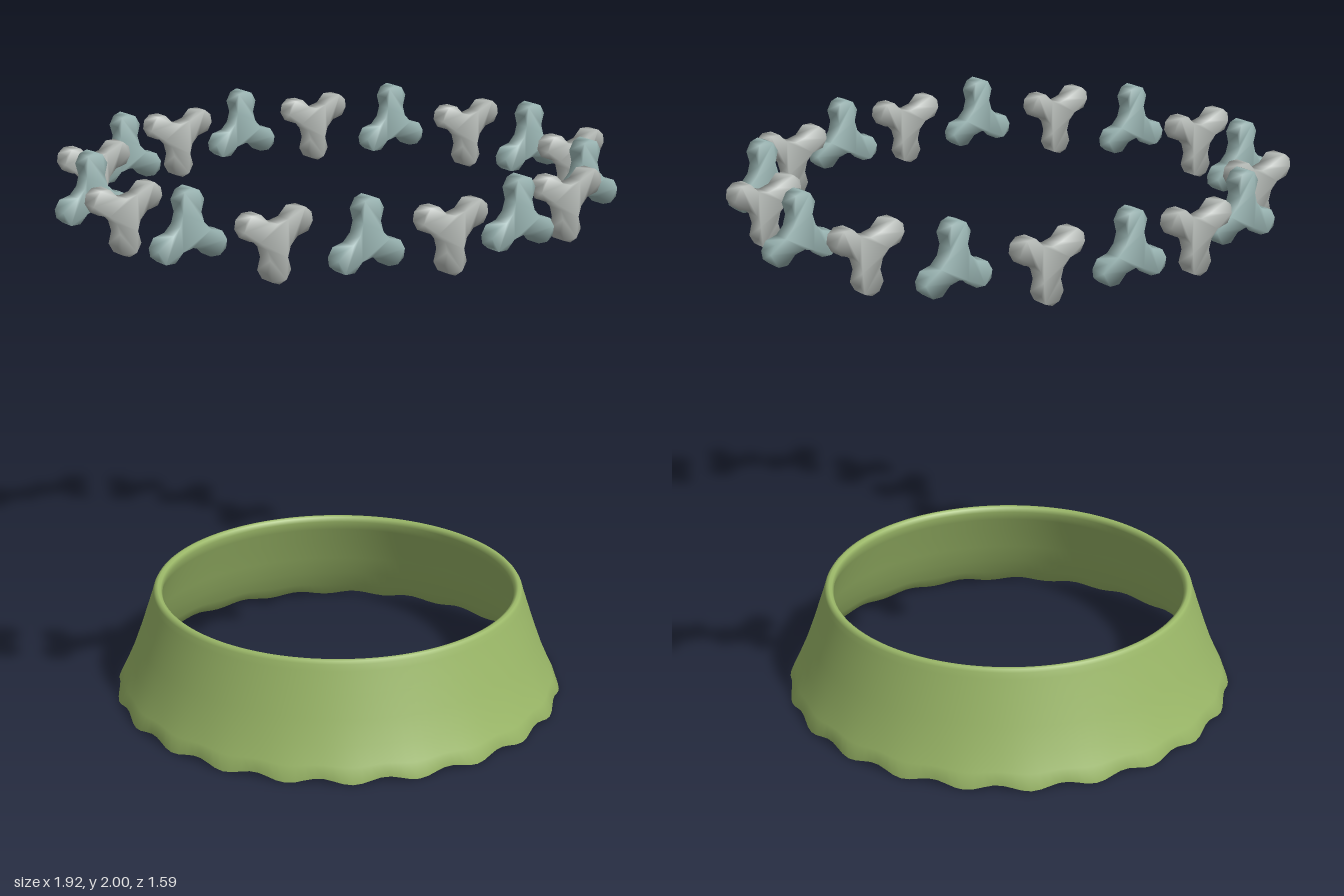
import * as THREE from 'three';
import { mergeVertices } from 'three/addons/utils/BufferGeometryUtils.js';

// Weld a geometry and give it smooth normals throughout
function weld(geometry) {
  geometry.deleteAttribute('uv');
  geometry.deleteAttribute('normal');
  const g = mergeVertices(geometry, 1e-4);
  g.computeVertexNormals();
  return g;
}

// Flared collar: closed shell profile with a rounded top rim and a rippled hem
function collarGeometry() {
  const height = 0.385, waves = 22;
  const profile = [
    [0.783, 0], [0.762, 0.05], [0.733, 0.12], [0.705, 0.2], [0.679, 0.28], [0.657, 0.35],
    [0.651, 0.372], [0.645, 0.382], [0.635, 0.385], [0.625, 0.38], [0.619, 0.365],
    [0.63, 0.33], [0.656, 0.27], [0.684, 0.19], [0.713, 0.115], [0.744, 0.05], [0.768, 0.004], [0.783, 0],
  ].map(([r, y]) => new THREE.Vector2(r, y));
  const geo = new THREE.LatheGeometry(profile, waves * 7);
  const p = geo.attributes.position;
  for (let i = 0; i < p.count; i++) {
    const x = p.getX(i), y = p.getY(i), z = p.getZ(i);
    const fade = Math.pow(1 - y / height, 6);
    const wave = Math.cos(waves * Math.atan2(x, z));
    const s = 1 + 0.007 * wave * fade;
    p.setXYZ(i, x * s, y + 0.009 * (1 - wave) * fade, z * s);
  }
  return weld(geo);
}

// Flat three-lobed plate, one lobe pointing up
function trefoilGeometry() {
  const depth = 0.055;
  const lobe = [[0.043, 0.025], [0.033, 0.06], [0.044, 0.1], [0.027, 0.13],
    [0, 0.14], [-0.027, 0.13], [-0.044, 0.1], [-0.033, 0.06]];
  const outline = [];
  for (let k = 0; k < 3; k++) {
    for (const [x, y] of lobe) {
      outline.push(new THREE.Vector2(x, y).rotateAround(new THREE.Vector2(), k * Math.PI * 2 / 3));
    }
  }
  const geo = new THREE.ExtrudeGeometry(new THREE.Shape(outline), { depth, bevelEnabled: false });
  geo.translate(0, 0, -depth / 2);
  return weld(geo);
}

export function createModel() {
  const model = new THREE.Group();

  const collar = new THREE.Mesh(collarGeometry(),
    new THREE.MeshStandardMaterial({ color: 0x9bb868, side: THREE.DoubleSide }));
  collar.name = 'collar';
  collar.position.x = -0.004;
  model.add(collar);

  // Floating ring of 18 plates, all facing front, alternately upright and inverted
  const ring = new THREE.Group();
  ring.name = 'trefoilRing';
  const geo = trefoilGeometry();
  const teal = new THREE.MeshStandardMaterial({ color: 0x9ab5b3 });
  const grey = new THREE.MeshStandardMaterial({ color: 0xb4b9b5 });
  const count = 18;
  for (let i = 0; i < count; i++) {
    const a = i * Math.PI * 2 / count;
    const radius = 0.774 + 0.06 * Math.pow(Math.abs(Math.cos(a)), 1.2);
    const upright = i % 2 === 0;
    const plate = new THREE.Mesh(geo, upright ? teal : grey);
    plate.name = upright ? 'uprightTrefoil' : 'invertedTrefoil';
    plate.position.set(radius * Math.cos(a) - 0.006, upright ? 1.86 : 1.865, radius * Math.sin(a));
    if (!upright) plate.rotation.z = Math.PI;
    ring.add(plate);
  }
  model.add(ring);
  return model;
}
